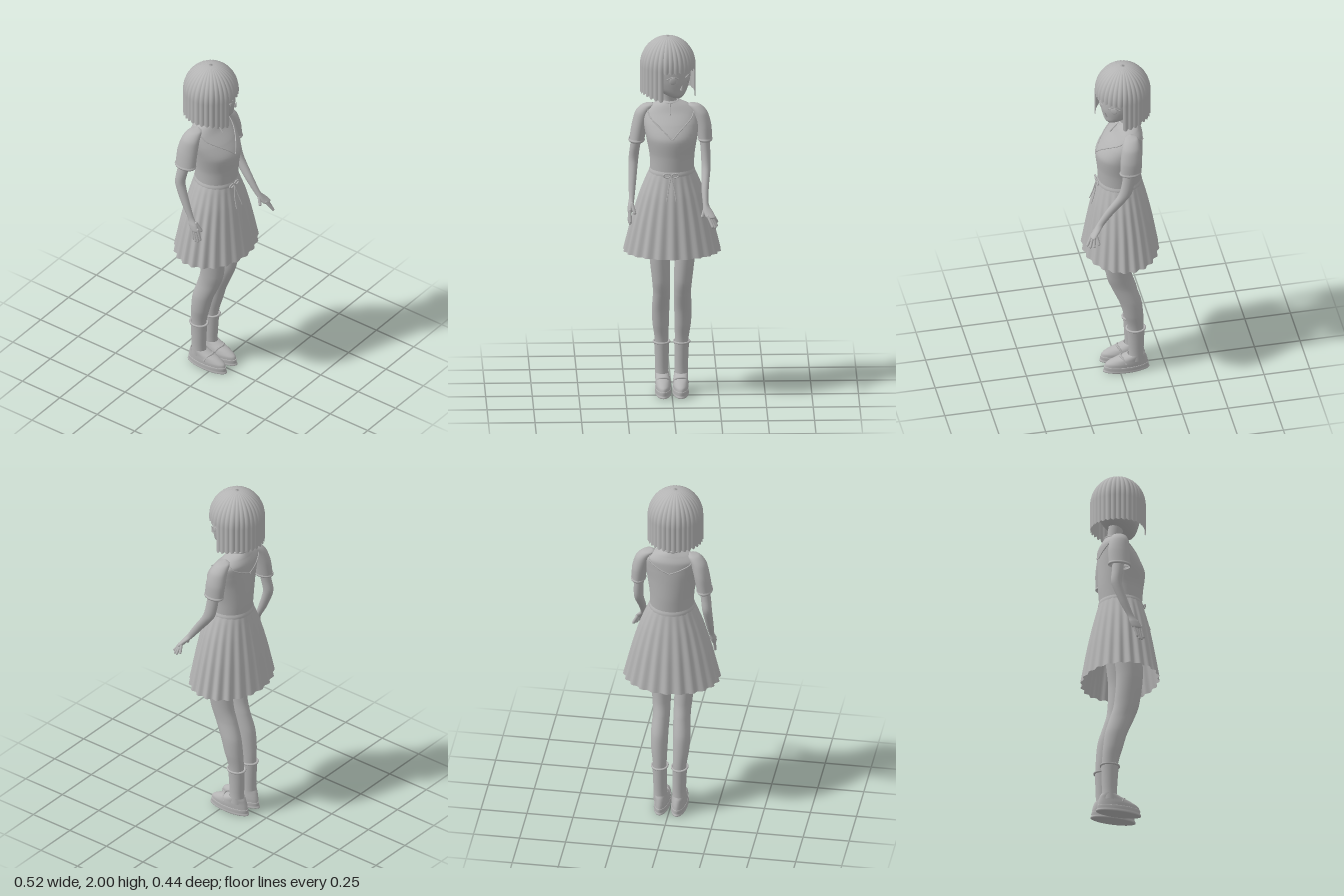
import * as THREE from 'three';
import { ParametricGeometry } from 'three/addons/geometries/ParametricGeometry.js';

const V = (x, y, z) => new THREE.Vector3(x, y, z);
const grey = new THREE.MeshStandardMaterial({ color: 0xb4b4b4, side: THREE.DoubleSide });
grey.name = 'plain grey';

function add(parent, name, geometry) {
  const mesh = new THREE.Mesh(geometry, grey);
  mesh.name = name;
  parent.add(mesh);
  return mesh;
}

// Smooth surface through horizontal ellipses, listed bottom to top: [x, y, z, rx, rz]
function surface(rows, mod = () => 1) {
  const path = new THREE.CatmullRomCurve3(rows.map(r => V(r[0], r[1], r[2])), false, 'catmullrom', 0.4);
  const radii = new THREE.CatmullRomCurve3(rows.map(r => V(r[3], r[4], 0)), false, 'catmullrom', 0.4);
  return (u, v, target) => {
    const a = u * Math.PI * 2, c = path.getPoint(v), r = radii.getPoint(v), m = mod(a, v);
    return target.set(c.x + Math.sin(a) * r.x * m, c.y, c.z + Math.cos(a) * r.y * m);
  };
}
const loft = (rows, n = 24, stacks = 24, mod) => new ParametricGeometry(surface(rows, mod), n, stacks);
const tube = (points, r, n = 20) => new THREE.TubeGeometry(new THREE.CatmullRomCurve3(points), n, r, 6);

// Rounded rod between two points, for fingers
function rod(parent, name, from, to, r) {
  const d = to.clone().sub(from);
  const mesh = add(parent, name, new THREE.CapsuleGeometry(r, d.length(), 4, 8));
  mesh.position.copy(from).add(to).multiplyScalar(0.5);
  mesh.quaternion.setFromUnitVectors(V(0, 1, 0), d.normalize());
}

function buildHead() {
  const head = new THREE.Group();
  head.name = 'head';
  add(head, 'face', loft([
    [0, 1.671, 0.088, 0.002, 0.002], [0, 1.676, 0.08, 0.022, 0.026], [0, 1.695, 0.055, 0.055, 0.066],
    [0, 1.725, 0.028, 0.086, 0.098], [0, 1.77, 0.008, 0.108, 0.124], [0, 1.83, 0, 0.122, 0.13],
    [0, 1.9, 0, 0.115, 0.117], [0, 1.95, 0, 0.07, 0.07], [0, 1.96, 0, 0.001, 0.001],
  ], 40, 40));
  const nose = add(head, 'nose', new THREE.ConeGeometry(0.011, 0.035, 8));
  nose.position.set(0, 1.745, 0.133);
  nose.rotation.x = 0.35;
  add(head, 'mouth', tube([V(-0.016, 1.71, 0.117), V(0, 1.708, 0.121), V(0.016, 1.71, 0.117)], 0.002));
  for (const s of [-1, 1]) {
    const eye = add(head, 'eye', new THREE.SphereGeometry(0.02, 16, 12));
    eye.scale.set(0.95, 1, 0.2);
    eye.position.set(s * 0.05, 1.782, 0.118);
    eye.rotation.y = s * 0.42;
    add(head, 'eyelid', tube([V(s * 0.024, 1.793, 0.131), V(s * 0.05, 1.805, 0.122), V(s * 0.078, 1.79, 0.099)], 0.003));
  }

  // Ribbed bob: long sides and back, with a short fringe above the face
  const hair = (name, a0, a1, bottom) => add(head, name, new ParametricGeometry((u, v, target) => {
    const a = a0 + (a1 - a0) * u, s = 1 - v, lobe = Math.abs(Math.sin(16 * a));
    const low = bottom(a) + 0.012 * (1 - lobe);
    const t = Math.min(s / 0.6, 1) * Math.PI / 2;
    const y = s < 0.6 ? 1.84 + 0.16 * Math.cos(t) : 1.84 + (low - 1.84) * (s - 0.6) / 0.4;
    const r = 0.15 * Math.max(Math.sin(t), 0.002) * (0.965 + 0.035 * lobe);
    return target.set(r * Math.sin(a), y, r * Math.cos(a));
  }, Math.round((a1 - a0) * 32), 28));
  const q = Math.PI / 4;
  hair('fringe', -q, q, () => 1.822);
  hair('bobHair', q, 7 * q, a => 1.69 - 0.036 * Math.max(0, Math.cos(a)));
  head.position.set(-0.022, 0, -0.032);
  head.rotation.y = Math.PI * 0.1875;
  return head;
}

function buildDress() {
  const dress = new THREE.Group();
  dress.name = 'dress';
  const bodice = [
    [0, 1.26, -0.01, 0.117, 0.114], [0, 1.35, -0.01, 0.121, 0.121], [-0.002, 1.45, -0.007, 0.138, 0.126],
    [-0.004, 1.52, -0.027, 0.147, 0.106], [-0.006, 1.58, -0.052, 0.142, 0.079],
    [-0.008, 1.615, -0.056, 0.1, 0.06], [-0.01, 1.64, -0.058, 0.042, 0.044],
  ];
  add(dress, 'bodice', loft(bodice, 40, 36));
  // Raised neckline and straps, following the bodice in front and behind
  const onBodice = surface(bodice, () => 1.008);
  for (const side of [-1, 1]) for (const back of [false, true]) {
    const steps = back ? [[0, 3], [0.4, 3.4], [0.85, 3.9], [1.2, 4.5], [1.57, 4.75]]
      : [[0, 2.1], [0.25, 2.6], [0.55, 3.15], [0.88, 3.65], [1.2, 4.35], [1.57, 4.75]];
    const points = steps.map(([a, row]) => onBodice(side * (back ? Math.PI - a : a) / (2 * Math.PI), row / 6, V(0, 0, 0)));
    add(dress, 'neckline', tube(points, 0.0035, 30));
  }
  const collar = add(dress, 'collar', new THREE.TorusGeometry(0.044, 0.007, 8, 32));
  collar.rotation.x = Math.PI / 2 + 0.15;
  collar.position.set(-0.01, 1.635, -0.055);
  add(dress, 'collarTie', tube([V(-0.01, 1.63, -0.008), V(-0.012, 1.6, 0.018), V(-0.012, 1.575, 0.04)], 0.004));

  // Pleated skirt
  add(dress, 'skirt', loft([
    [0, 0.81, -0.013, 0.257, 0.202], [0, 1.0, -0.012, 0.212, 0.172], [0, 1.13, -0.01, 0.174, 0.148],
    [0, 1.22, -0.01, 0.14, 0.127], [0, 1.27, -0.01, 0.118, 0.115],
  ], 176, 24, (a, v) => 1 + 0.03 * Math.pow(1 - v, 0.8) * Math.cos(22 * a)));
  add(dress, 'waistband', loft([[0, 1.25, -0.01, 0.125, 0.121], [0, 1.262, -0.01, 0.124, 0.12], [0, 1.275, -0.01, 0.119, 0.116]], 40, 6));
  for (const s of [-1, 1]) {
    const loop = add(dress, 'bowLoop', new THREE.TorusGeometry(0.015, 0.004, 6, 20));
    loop.scale.set(1.25, 0.75, 1);
    loop.position.set(-0.008 + s * 0.022, 1.26, 0.114);
    add(dress, 'bowTail', tube([V(-0.008, 1.257, 0.116), V(-0.008 + s * 0.015, 1.19, 0.128), V(-0.008 + s * 0.025, 1.125, 0.148)], 0.003));
  }
  return dress;
}

function buildArm(name, sleeve, arm, fingers) {
  const group = new THREE.Group();
  group.name = name;
  add(group, 'sleeve', loft(sleeve, 28, 24));
  const [x, y, z, rx, rz] = sleeve[0];
  add(group, 'sleeveHem', loft([[x, y - 0.004, z, rx * 0.97, rz * 0.97], [x, y + 0.004, z, rx + 0.004, rz + 0.004], [x, y + 0.014, z, rx, rz]], 28, 6));
  add(group, 'armAndPalm', loft(arm, 18, 40));
  for (const [from, to, r = 0.0075] of fingers) rod(group, 'finger', V(...from), V(...to), r);
  return group;
}

function buildLeg(s) {
  const leg = new THREE.Group();
  leg.name = s > 0 ? 'leftLeg' : 'rightLeg';
  add(leg, 'bareLeg', loft([
    [s * 0.052, 0.08, -0.088, 0.032, 0.036], [s * 0.054, 0.28, -0.088, 0.036, 0.043],
    [s * 0.059, 0.38, -0.074, 0.044, 0.053], [s * 0.06, 0.47, -0.056, 0.047, 0.06],
    [s * 0.056, 0.57, -0.02, 0.046, 0.066], [s * 0.059, 0.65, 0.004, 0.049, 0.069],
    [s * 0.068, 0.81, 0.018, 0.056, 0.073], [s * 0.066, 1.0, 0.005, 0.062, 0.08], [s * 0.06, 1.1, 0, 0.055, 0.07],
  ], 28, 48));
  add(leg, 'sock', loft([
    [s * 0.052, 0.07, -0.09, 0.037, 0.042], [s * 0.052, 0.13, -0.09, 0.036, 0.041],
    [s * 0.053, 0.22, -0.089, 0.038, 0.045], [s * 0.054, 0.275, -0.088, 0.04, 0.048],
  ], 28, 16));
  const cuff = add(leg, 'sockCuff', new THREE.TorusGeometry(0.042, 0.006, 8, 28));
  cuff.rotation.x = Math.PI / 2;
  cuff.scale.y = 1.17;
  cuff.position.set(s * 0.054, 0.276, -0.088);
  // Shoe: flat sole, rounded upper and ankle opening
  add(leg, 'sole', loft([
    [s * 0.047, 0, -0.037, 0.001, 0.001], [s * 0.047, 0.001, -0.037, 0.041, 0.12],
    [s * 0.047, 0.018, -0.037, 0.043, 0.122], [s * 0.047, 0.036, -0.037, 0.043, 0.122], [s * 0.047, 0.038, -0.037, 0.038, 0.115],
  ], 32, 16));
  add(leg, 'shoeUpper', loft([
    [s * 0.047, 0.034, -0.037, 0.041, 0.12], [s * 0.047, 0.055, -0.04, 0.042, 0.114],
    [s * 0.048, 0.075, -0.056, 0.04, 0.093], [s * 0.05, 0.092, -0.077, 0.038, 0.066], [s * 0.051, 0.105, -0.09, 0.037, 0.046],
  ], 32, 20));
  add(leg, 'shoeStrap', tube([
    V(s * 0.047 - 0.041, 0.06, -0.03), V(s * 0.047 - 0.025, 0.086, -0.015),
    V(s * 0.047, 0.093, -0.005), V(s * 0.047 + 0.025, 0.086, -0.015), V(s * 0.047 + 0.041, 0.06, -0.03),
  ], 0.006));
  return leg;
}

export function createModel() {
  const model = new THREE.Group();
  model.name = 'standingGirl';
  model.add(buildHead(), buildDress(), buildLeg(-1), buildLeg(1));
  add(model, 'neck', loft([[-0.01, 1.6, -0.06, 0.042, 0.045], [-0.013, 1.65, -0.05, 0.036, 0.038], [-0.018, 1.74, -0.035, 0.04, 0.045]], 24, 12));

  // Left arm reaches forward
  model.add(buildArm('leftArm', [
    [0.178, 1.42, -0.033, 0.037, 0.056], [0.17, 1.5, -0.038, 0.042, 0.057], [0.15, 1.57, -0.043, 0.042, 0.05],
    [0.12, 1.61, -0.05, 0.034, 0.035], [0.1, 1.622, -0.05, 0.001, 0.001],
  ], [
    [0.207, 1.035, 0.18, 0.004, 0.004], [0.202, 1.045, 0.174, 0.026, 0.016], [0.19, 1.07, 0.155, 0.025, 0.017],
    [0.177, 1.105, 0.128, 0.016, 0.021], [0.175, 1.18, 0.075, 0.02, 0.028],
    [0.182, 1.28, 0.002, 0.025, 0.034], [0.18, 1.36, -0.02, 0.026, 0.034], [0.17, 1.5, -0.035, 0.028, 0.034],
  ], [
    [[0.188, 1.05, 0.18], [0.212, 1.0, 0.21]], [[0.2, 1.045, 0.178], [0.225, 0.995, 0.196]],
    [[0.21, 1.045, 0.17], [0.234, 1.0, 0.177]], [[0.217, 1.05, 0.16], [0.236, 1.015, 0.152]],
    [[0.172, 1.085, 0.145], [0.158, 1.045, 0.163], 0.009],
  ]));

  // Right arm hangs at the side
  model.add(buildArm('rightArm', [
    [-0.188, 1.405, -0.078, 0.041, 0.06], [-0.172, 1.5, -0.076, 0.042, 0.06], [-0.153, 1.57, -0.068, 0.042, 0.052],
    [-0.125, 1.61, -0.06, 0.034, 0.036], [-0.105, 1.622, -0.055, 0.001, 0.001],
  ], [
    [-0.226, 1.028, 0.012, 0.004, 0.004], [-0.225, 1.035, 0.01, 0.014, 0.026], [-0.222, 1.065, -0.004, 0.015, 0.027],
    [-0.216, 1.1, -0.022, 0.015, 0.018], [-0.212, 1.18, -0.06, 0.021, 0.024],
    [-0.205, 1.29, -0.1, 0.026, 0.029], [-0.196, 1.37, -0.092, 0.027, 0.031], [-0.175, 1.5, -0.075, 0.028, 0.032],
  ], [
    ...[0, 1, 2, 3].map(i => [[-0.226, 1.045, -0.01 + i * 0.014], [-0.232 + i * 0.003, 0.985 - (i % 3 ? 0.012 : 0), 0.008 + i * 0.013]]),
    [[-0.215, 1.075, 0.012], [-0.202, 1.03, 0.036], 0.009],
  ]));
  return model;
}
